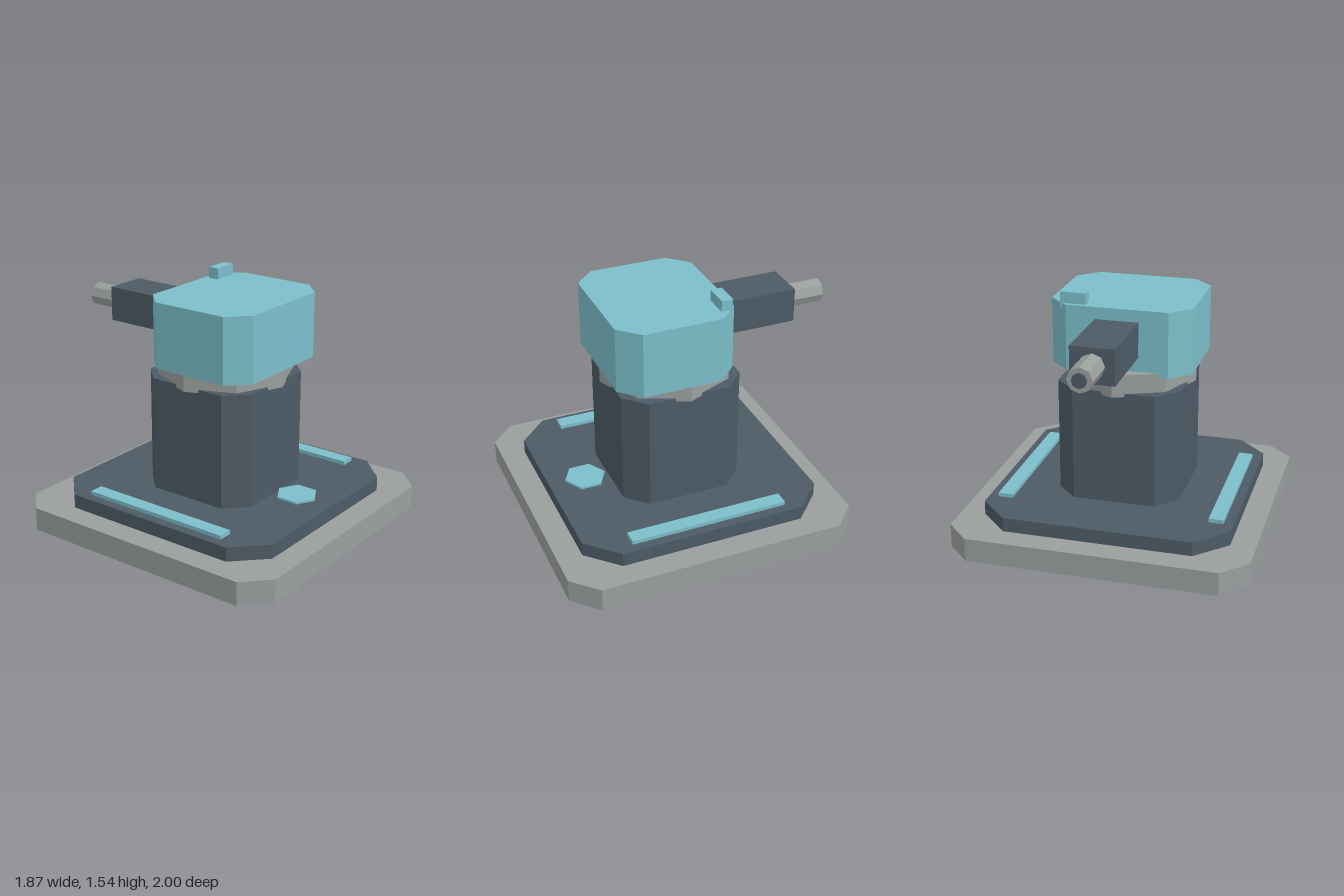
import * as THREE from 'three';

const mat = (name, color) => {
  const m = new THREE.MeshStandardMaterial({ color });
  m.name = name;
  return m;
};

export function createModel() {
  const gray = mat('stone gray', 0x9a9f9e);
  const slate = mat('dark slate', 0x4d5b66);
  const teal = mat('pale teal', 0x7cbfca);
  const model = new THREE.Group();
  model.name = 'turret';

  const add = (name, geometry, material, x, y, z) => {
    const mesh = new THREE.Mesh(geometry, material);
    mesh.name = name;
    mesh.position.set(x, y, z);
    model.add(mesh);
    return mesh;
  };

  // Upright block with chamfered corners, standing on y
  const block = (name, material, hx, hz, cut, y0, y1, z) => {
    const s = new THREE.Shape([
      [hx - cut, -hz], [hx, cut - hz], [hx, hz - cut], [hx - cut, hz],
      [cut - hx, hz], [-hx, hz - cut], [-hx, cut - hz], [cut - hx, -hz],
    ].map(([a, b]) => new THREE.Vector2(a, b)));
    const g = new THREE.ExtrudeGeometry(s, { depth: y1 - y0, bevelEnabled: false });
    g.rotateX(-Math.PI / 2);
    return add(name, g, material, 0, y0, z);
  };

  // Faceted round part with flat sides
  const prism = (r, h, sides) => {
    const g = new THREE.CylinderGeometry(r, r, h, sides).toNonIndexed();
    g.computeVertexNormals();
    return g;
  };

  // Stepped base and column
  block('basePlate', gray, 0.935, 0.935, 0.155, 0, 0.15, 0.065);
  block('upperPlate', slate, 0.78, 0.78, 0.19, 0.15, 0.24, 0.065);
  block('column', slate, 0.39, 0.39, 0.13, 0.24, 0.97, 0.065);

  // Swivel ring and head
  add('swivelRing', prism(0.425, 0.14, 8), gray, 0, 1.02, 0.07);
  block('head', teal, 0.443, 0.375, 0.125, 1.06, 1.475, 0.128);
  add('sight', new THREE.BoxGeometry(0.16, 0.095, 0.072), teal, 0.28, 1.4975, -0.183);

  // Arm and barrel pointing backwards
  add('arm', new THREE.BoxGeometry(0.27, 0.22, 0.54), slate, 0, 1.29, -0.48);
  add('barrel', prism(0.077, 0.25, 8).rotateX(Math.PI / 2), gray, 0, 1.29, -0.86);
  add('muzzle', prism(0.046, 0.05, 8).rotateX(Math.PI / 2), slate, 0, 1.29, -0.975);

  // Side strips and front marker on the base
  for (const side of [-1, 1]) {
    add(side > 0 ? 'leftStrip' : 'rightStrip',
      new THREE.BoxGeometry(0.092, 0.025, 1.01), teal, side * 0.674, 0.2525, 0.066);
  }
  add('frontMarker', prism(0.132, 0.014, 6), teal, 0, 0.273, 0.617);

  return model;
}
